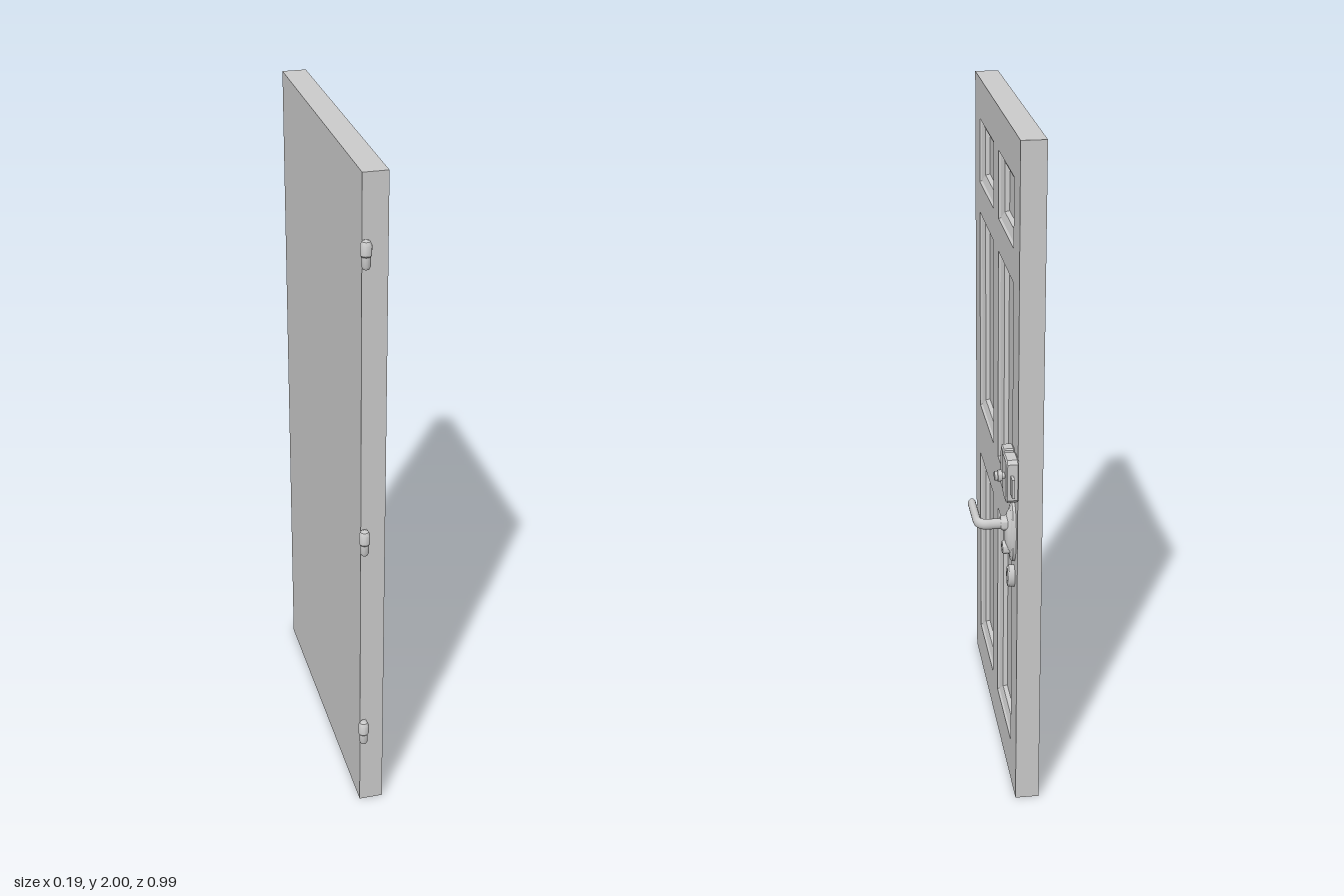
import * as THREE from 'three';
import { toCreasedNormals } from 'three/addons/utils/BufferGeometryUtils.js';

const material = new THREE.MeshStandardMaterial({ color: 0xcccccc });

function add(parent, name, geometry, x = 0, y = 0, z = 0) {
  const mesh = new THREE.Mesh(geometry, material);
  mesh.name = name;
  mesh.position.set(x, y, z);
  parent.add(mesh);
  return mesh;
}

// Corners of a rectangle, counter-clockwise
const corners = (l, r, b, t) => [[l, b], [r, b], [r, t], [l, t]];

const rectPath = (Type, ...rect) => new Type(corners(...rect).map(([x, y]) => new THREE.Vector2(x, y)));

// Recessed panel: nested rectangular rings given as [inset, depth], closed by a flat field
function panelGeometry(l, r, b, t, profile) {
  const rings = profile.map(([i, d]) => corners(l + i, r - i, b + i, t - i).map(([x, y]) => [x, y, -d]));
  const pos = [];
  const quad = (a, b2, c, d) => pos.push(...a, ...b2, ...c, ...a, ...c, ...d);
  for (let k = 0; k < rings.length - 1; k++) {
    for (let j = 0; j < 4; j++) {
      const n = (j + 1) % 4;
      quad(rings[k][j], rings[k][n], rings[k + 1][n], rings[k + 1][j]);
    }
  }
  quad(...rings[rings.length - 1]);
  const g = new THREE.BufferGeometry();
  g.setAttribute('position', new THREE.Float32BufferAttribute(pos, 3));
  g.computeVertexNormals();
  return g;
}

// Lathe from [radius, height] points, with sharp edges kept
function lathe(points, segments = 32) {
  const g = new THREE.LatheGeometry(points.map(([r, h]) => new THREE.Vector2(r, h)), segments);
  return toCreasedNormals(g, 0.6);
}

// Lathe turned to stand out from the door face
const boss = (points, segments) => lathe(points, segments).rotateX(Math.PI / 2);

// Block with chamfered front edges and cut corners
function block(l, r, b, t, depth, cut) {
  const s = new THREE.Shape([
    [l + cut, b], [r - cut, b], [r, b + cut], [r, t - cut],
    [r - cut, t], [l + cut, t], [l, t - cut], [l, b + cut],
  ].map(([x, y]) => new THREE.Vector2(x, y)));
  const bevel = 0.004;
  return new THREE.ExtrudeGeometry(s, {
    depth: depth - bevel * 2, bevelEnabled: true, bevelSize: bevel, bevelOffset: -bevel,
    bevelThickness: bevel, bevelSegments: 1,
  }).translate(0, 0, bevel);
}

export function createModel() {
  const root = new THREE.Group();
  root.name = 'panelDoor';

  // Built facing +z, then turned so the panelled face looks to +x
  const door = new THREE.Group();
  door.name = 'door';
  door.rotation.y = Math.PI / 2;
  root.add(door);

  const FACE = -0.02, BACK = -0.09, SPLIT = -0.06;

  // Panel openings: two columns by three rows
  const columns = [[-0.36, -0.055], [0.05, 0.338]];
  const rows = [[0.135, 0.78], [0.95, 1.59], [1.685, 1.88]];
  const profile = [[0, 0], [0.005, 0.006], [0.027, 0.014], [0.031, 0.027], [0.037, 0.027]];
  const outline = rectPath(THREE.Shape, -0.465, 0.445, 0, 2);
  const panels = new THREE.Group();
  panels.name = 'panels';
  door.add(panels);
  for (const [l, r] of columns) {
    for (const [b, t] of rows) {
      outline.holes.push(rectPath(THREE.Path, l, r, b, t));
      add(panels, 'recessedPanel', panelGeometry(l, r, b, t, profile), 0, 0, FACE);
    }
  }

  // Slab: pierced front layer on a solid back layer
  add(door, 'frontFrame', new THREE.ExtrudeGeometry(outline, { depth: FACE - SPLIT, bevelEnabled: false }), 0, 0, SPLIT);
  add(door, 'backSlab', new THREE.BoxGeometry(0.91, 2, SPLIT - BACK), -0.01, 1, (SPLIT + BACK) / 2);

  // Hinges: rounded knuckle with a leaf on the door edge
  for (const y of [0.267, 0.93, 1.787]) {
    const hinge = new THREE.Group();
    hinge.name = 'hinge';
    hinge.position.set(-0.48, y, -0.083);
    door.add(hinge);
    add(hinge, 'knuckle', lathe([
      [0, -0.041], [0.009, -0.038], [0.0125, -0.03], [0.0125, -0.004],
      [0.0155, 0], [0.0155, 0.028], [0.011, 0.037], [0, 0.041],
    ], 20));
    add(hinge, 'leaf', new THREE.BoxGeometry(0.016, 0.07, 0.012), 0.009, 0, 0.004);
  }

  // Rim lock: case, keeper, bolt and thumb turn
  const lock = new THREE.Group();
  lock.name = 'rimLock';
  door.add(lock);
  add(lock, 'lockCase', block(0.395, 0.468, 0.995, 1.123, 0.036, 0.01), 0, 0, FACE);
  add(lock, 'keeper', block(0.342, 0.384, 0.998, 1.123, 0.034, 0.004), 0, 0, FACE);
  add(lock, 'keeperTongue', new THREE.BoxGeometry(0.02, 0.1, 0.022), 0.388, 1.06, -0.009);
  add(lock, 'bolt', new THREE.BoxGeometry(0.04, 0.055, 0.008), 0.478, 1.053, 0);
  add(lock, 'thumbTurn', boss([
    [0.009, 0], [0.009, 0.008], [0.016, 0.008], [0.016, 0.02], [0.013, 0.021],
    [0.013, 0.029], [0, 0.029],
  ], 24), 0.432, 1.067, 0.015);

  // Lever handle: oval plate, collar, bent grip and key cylinder
  const handle = new THREE.Group();
  handle.name = 'leverHandle';
  handle.position.set(0.384, 0, FACE);
  door.add(handle);
  const plate = add(handle, 'ovalPlate', boss([
    [1, 0], [1, 0.008], [0.92, 0.013], [0.78, 0.014], [0.72, 0.02], [0.45, 0.026], [0, 0.028],
  ], 40), 0, 0.867, 0);
  plate.scale.set(0.038, 0.092, 1);
  add(handle, 'collar', boss([[0.022, 0], [0.022, 0.034], [0.018, 0.04], [0, 0.04]]), 0, 0.897, 0);

  const path = new THREE.CurvePath();
  const v = (x, z) => new THREE.Vector3(x, 0, z);
  path.add(new THREE.LineCurve3(v(0.004, 0.02), v(0.004, 0.075)));
  path.add(new THREE.QuadraticBezierCurve3(v(0.004, 0.075), v(0.004, 0.104), v(-0.03, 0.104)));
  path.add(new THREE.LineCurve3(v(-0.03, 0.104), v(-0.135, 0.104)));
  const grip = add(handle, 'grip', new THREE.TubeGeometry(path, 48, 0.0115, 16), 0, 0.897, 0);
  grip.scale.y = 1.35;
  const tip = add(handle, 'gripEnd', new THREE.SphereGeometry(0.0115, 16, 12), -0.135, 0.897, 0.104);
  tip.scale.set(0.5, 1.35, 1);
  add(handle, 'keyCylinder', boss([
    [0.02, 0], [0.02, 0.03], [0.017, 0.035], [0.009, 0.035], [0.009, 0.031], [0, 0.031],
  ]), 0, 0.82, 0);

  // Small oval keyhole cover below the plate
  const cover = add(handle, 'keyholeCover', boss([
    [1, 0], [1, 0.016], [0.88, 0.02], [0.45, 0.02], [0.4, 0.014], [0, 0.014],
  ]), 0, 0.726, 0);
  cover.scale.set(0.02, 0.034, 1);

  return root;
}
